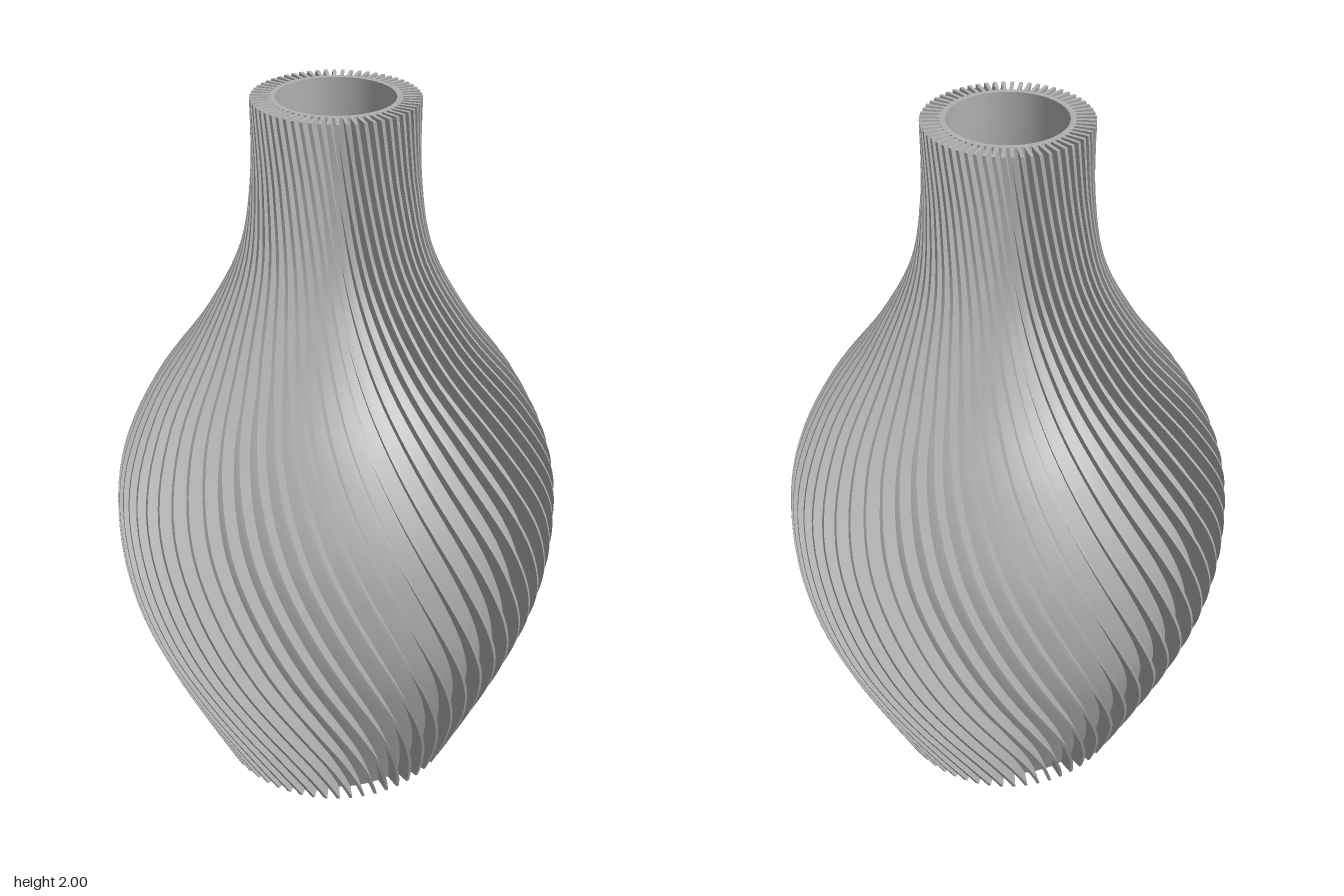
import * as THREE from 'three';

const HEIGHT = 2, LEVELS = 56, FINS = 60;
const TWIST = Math.PI / 4;      // radians per unit of height
const DEPTH = 0.048, HALF = 0.0045, WALL = 0.014;

// Silhouette of the fin tips: radius, height
const silhouette = new THREE.SplineCurve([
  [0.356, 0], [0.445, 0.2], [0.528, 0.4], [0.592, 0.6], [0.615, 0.8], [0.592, 1.0],
  [0.498, 1.2], [0.355, 1.4], [0.25, 1.6], [0.214, 1.8], [0.21, 2],
].map(([r, y]) => new THREE.Vector2(r, y))).getPoints(LEVELS);

// One twisted fin: two sides, a narrow tip and end caps, each with its own edges
function finGeometry() {
  const sections = silhouette.map(({ x: r, y }) => {
    const a = -TWIST * y, s = Math.sin(a), c = Math.cos(a);
    const at = (radius, t) => [radius * s + t * c, y, radius * c - t * s];
    const root = r - DEPTH - 0.004;
    return [at(root, -HALF), at(r, -HALF), at(r, HALF), at(root, HALF)];
  });
  const positions = [], index = [];
  for (let side = 0; side < 3; side++) {
    const base = positions.length / 3;
    sections.forEach((p, i) => {
      positions.push(...p[side], ...p[side + 1]);
      if (i === 0) return;
      const a = base + (i - 1) * 2;
      index.push(a, a + 1, a + 2, a + 1, a + 3, a + 2);
    });
  }
  const cap = (p, order) => {
    const base = positions.length / 3;
    p.forEach((v) => positions.push(...v));
    index.push(...order.map((i) => base + i));
  };
  cap(sections[LEVELS], [0, 1, 2, 0, 2, 3]);
  cap(sections[0], [0, 2, 1, 0, 3, 2]);
  const g = new THREE.BufferGeometry();
  g.setAttribute('position', new THREE.Float32BufferAttribute(positions, 3));
  g.setIndex(index);
  g.computeVertexNormals();
  return g;
}

export function createModel() {
  const vase = new THREE.Group();
  vase.name = 'twistedFinVase';
  const grey = new THREE.MeshStandardMaterial({ color: 0xb0b0b0 });
  grey.name = 'light grey';

  // Smooth hollow body, split at its sharp edges
  const body = new THREE.Group();
  body.name = 'body';
  vase.add(body);
  const addLathe = (name, points) => {
    const mesh = new THREE.Mesh(new THREE.LatheGeometry(points, 96), grey);
    mesh.name = name;
    body.add(mesh);
  };
  const V = (x, y) => new THREE.Vector2(x, y);
  const outer = silhouette.map((p) => V(p.x - DEPTH, p.y));
  const inner = outer.map((p) => V(p.x - WALL, Math.max(p.y, 0.03))).reverse();
  addLathe('outerWall', outer);
  addLathe('rim', [outer[LEVELS], V(inner[0].x, HEIGHT)]);
  addLathe('innerWall', inner);
  addLathe('floor', [inner[LEVELS], V(0, 0.03)]);
  addLathe('base', [V(0, 0), outer[0]]);

  // Ring of twisted fins
  const fins = new THREE.Group();
  fins.name = 'fins';
  vase.add(fins);
  const geometry = finGeometry();
  for (let i = 0; i < FINS; i++) {
    const fin = new THREE.Mesh(geometry, grey);
    fin.name = 'fin';
    fin.rotation.y = (i / FINS) * Math.PI * 2;
    fins.add(fin);
  }
  return vase;
}
